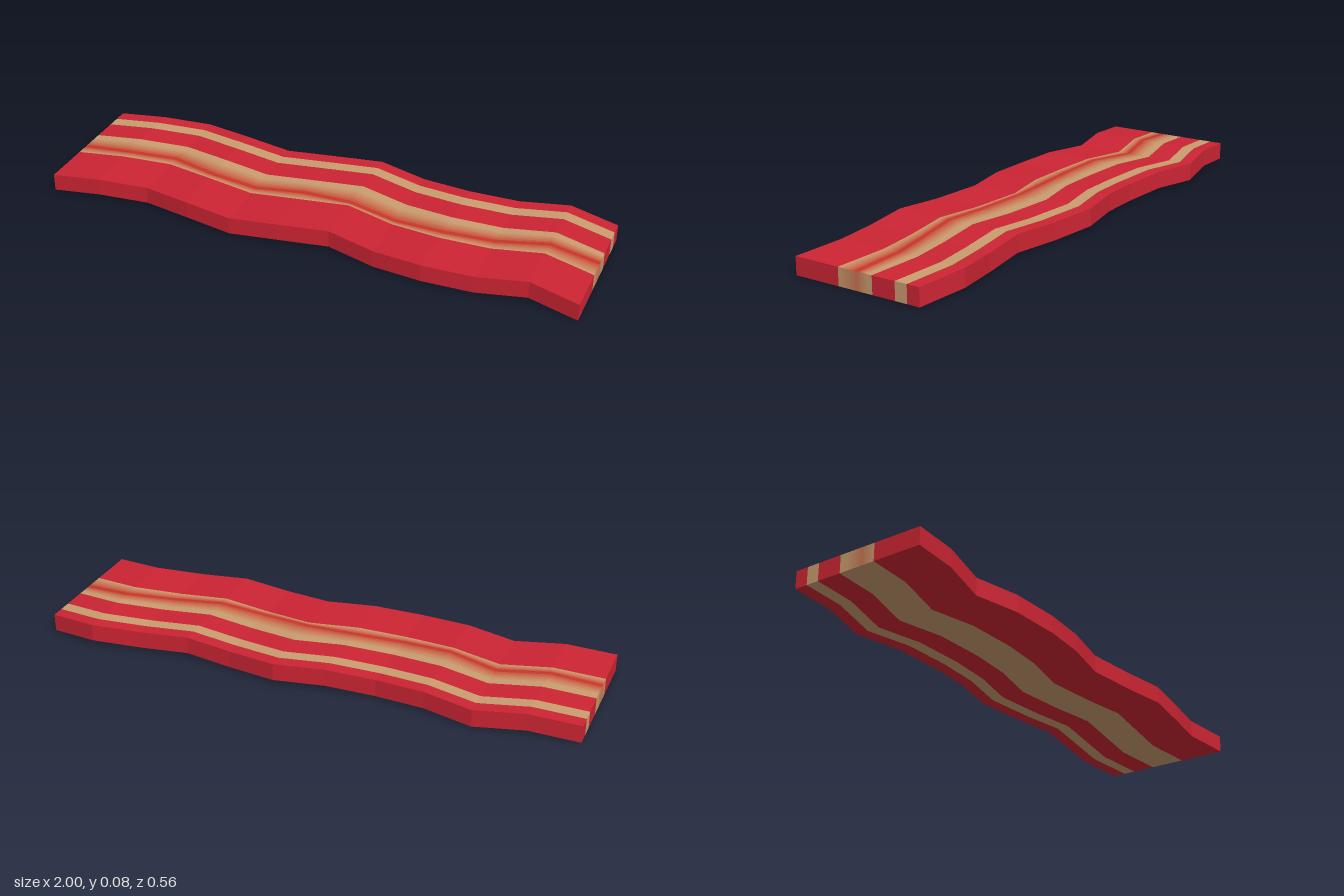
import * as THREE from 'three';

const SEGMENTS = 11;
const THICKNESS = 0.065;
const HALF_WIDTH = 0.25;

// Wave of the strip at each cross-section: sideways drift, height, and the streak's centre
const SWAY = [0.025, 0.005, -0.03, 0.005]; // repeats along the length
const LIFT = [0.002, 0.016, 0.007, 0.014, 0.007, 0.017, 0.017, 0.007, 0.014, 0.007, 0.016, 0.002];
const STREAK = [0.025, 0.035, 0.03, 0.045, 0.035, 0.025, 0.055, 0.05, 0.035, 0.025, 0.012, -0.004];

const RED = new THREE.Color(0xcc2433);
const TAN = new THREE.Color(0xca9c6e);
const BRIGHT = new THREE.Color(0xc8181a);

// A point on cross-section i, w across the strip, on the upper or lower face
function point(i, w, upper) {
  return [
    -1 + (2 * i) / SEGMENTS,
    LIFT[i] + (upper ? THICKNESS : 0),
    SWAY[i % 4] + w,
  ];
}

// Quads from lists of four corners, counter-clockwise from outside
function quadMesh(name, quads, color) {
  const positions = [];
  for (const [a, b, c, d] of quads) positions.push(...a, ...b, ...c, ...a, ...c, ...d);
  const geometry = new THREE.BufferGeometry();
  geometry.setAttribute('position', new THREE.Float32BufferAttribute(positions, 3));
  geometry.computeVertexNormals();
  const material = new THREE.MeshStandardMaterial({ flatShading: true });
  material.color.copy(color);
  const mesh = new THREE.Mesh(geometry, material);
  mesh.name = name;
  return mesh;
}

// Upper or lower surface between two edges, each a function of the section index
function surface(back, front, upper) {
  const quads = [];
  for (let i = 0; i < SEGMENTS; i++) {
    const quad = [
      point(i, back(i), upper),
      point(i, front(i), upper),
      point(i + 1, front(i + 1), upper),
      point(i + 1, back(i + 1), upper),
    ];
    quads.push(upper ? quad : quad.reverse());
  }
  return quads;
}

// Long outer wall at the front (side 1) or back (side -1)
function wall(side) {
  const w = side * HALF_WIDTH;
  const quads = [];
  for (let i = 0; i < SEGMENTS; i++) {
    const quad = [point(i, w, false), point(i + 1, w, false), point(i + 1, w, true), point(i, w, true)];
    quads.push(side > 0 ? quad : quad.reverse());
  }
  return quads;
}

// End faces of a stripe at both ends of the strip
function ends(back, front) {
  return [0, SEGMENTS].map((i) => {
    const quad = [
      point(i, front(i), false),
      point(i, back(i), false),
      point(i, back(i), true),
      point(i, front(i), true),
    ];
    return i ? quad : quad.reverse();
  });
}

export function createModel() {
  const group = new THREE.Group();
  group.name = 'baconStrip';

  // Plain meat and fat stripes from back to front
  const stripes = [
    ['backMeat', -HALF_WIDTH, -0.202, RED],
    ['narrowFat', -0.202, -0.155, TAN],
    ['middleMeat', -0.155, -0.065, RED],
    ['frontMeat', 0.072, HALF_WIDTH, RED],
  ];
  for (const [name, b, f, color] of stripes) {
    const back = () => b;
    const front = () => f;
    const quads = [...surface(back, front, true), ...surface(back, front, false), ...ends(back, front)];
    if (b === -HALF_WIDTH) quads.push(...wall(-1));
    if (f === HALF_WIDTH) quads.push(...wall(1));
    group.add(quadMesh(name, quads, color));
  }

  // Wide fat stripe: plain underneath
  const fatBack = () => -0.065;
  const fatFront = () => 0.072;
  group.add(quadMesh('wideFatUnderside', surface(fatBack, fatFront, false), TAN));

  // Its upper face blends into a wandering red streak, in thin lanes
  const streak = new THREE.Group();
  streak.name = 'wideFatStreak';
  const LANES = 8;
  for (const [edge, reach] of [[-0.065, 0.7], [0.072, 1]]) {
    for (let k = 0; k < LANES; k++) {
      const at = (t) => (i) => THREE.MathUtils.lerp(edge, STREAK[i], t);
      let inner = at((k + 1) / LANES);
      let outer = at(k / LANES);
      if (edge > 0) [inner, outer] = [outer, inner];
      // The streak fades out before reaching the back of the fat
      const blend = Math.max(0, ((k + 0.5) / LANES - (1 - reach)) / reach);
      const topColor = TAN.clone().lerp(BRIGHT, blend);
      const endColor = TAN.clone().lerp(BRIGHT, blend * 0.5);
      streak.add(quadMesh('streakLane', surface(outer, inner, true), topColor));
      streak.add(quadMesh('streakLaneEnds', ends(outer, inner), endColor));
    }
  }
  group.add(streak);

  return group;
}
